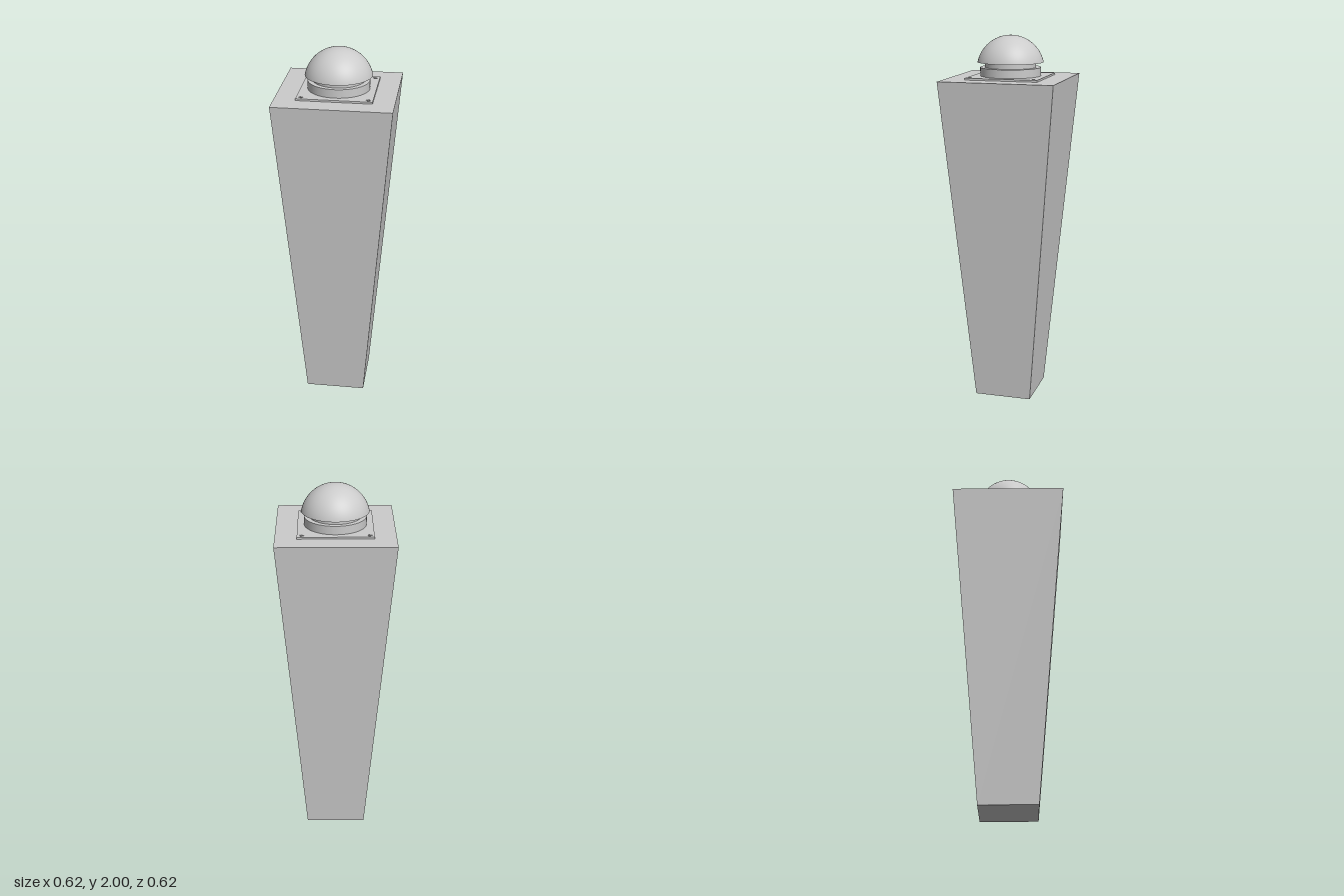
import * as THREE from 'three';

const material = new THREE.MeshStandardMaterial({ color: 0xcccccc });

function add(group, name, geometry, y = 0) {
  const mesh = new THREE.Mesh(geometry, material);
  mesh.name = name;
  mesh.position.y = y;
  group.add(mesh);
  return mesh;
}

// Square prism whose lower end is narrower than its top
function taperedPost(height, top, bottomX, bottomZ) {
  const g = new THREE.BoxGeometry(2, height, 2);
  const p = g.attributes.position;
  for (let i = 0; i < p.count; i++) {
    const upper = p.getY(i) > 0;
    p.setX(i, p.getX(i) * (upper ? top : bottomX));
    p.setZ(i, p.getZ(i) * (upper ? top : bottomZ));
  }
  g.translate(0, height / 2, 0);
  g.computeVertexNormals();
  return g;
}

// Plus-shaped screw slot, turned about its centre
function crossSlot(cx, cy, angle, arm = 0.012, w = 0.0035) {
  const corners = [];
  for (let k = 0; k < 4; k++) {
    const a = angle + k * Math.PI / 2;
    for (const [x, y] of [[arm, -w], [arm, w], [w, w]]) {
      corners.push(new THREE.Vector2(
        cx + x * Math.cos(a) - y * Math.sin(a),
        cy + x * Math.sin(a) + y * Math.cos(a)));
    }
  }
  return new THREE.Path(corners);
}

// Square mounting plate with a slot in each corner
function mountingPlate(half, thickness) {
  const s = new THREE.Shape();
  s.moveTo(-half, -half).lineTo(half, -half).lineTo(half, half).lineTo(-half, half).closePath();
  for (const x of [-1, 1]) {
    for (const y of [-1, 1]) s.holes.push(crossSlot(x * 0.173, y * 0.173, -x * 0.42));
  }
  const g = new THREE.ExtrudeGeometry(s, { depth: thickness, bevelEnabled: false });
  return g.rotateX(-Math.PI / 2);
}

export function createModel() {
  const group = new THREE.Group();
  group.name = 'taperedLeg';

  add(group, 'post', taperedPost(1.775, 0.31, 0.163, 0.156));
  add(group, 'mountingPlate', mountingPlate(0.197, 0.01), 1.775);
  add(group, 'collar', new THREE.CylinderGeometry(0.163, 0.163, 0.045, 64), 1.8075);
  add(group, 'neck', new THREE.CylinderGeometry(0.137, 0.137, 0.04, 64), 1.845);

  // Rounded cap: a spherical segment closed by a flat underside
  const radius = 0.177, rise = 0.143;
  const R = (radius * radius + rise * rise) / (2 * rise);
  const dome = new THREE.SphereGeometry(R, 64, 24, 0, Math.PI * 2, 0, Math.acos((R - rise) / R));
  add(group, 'domeCap', dome, 2 - R);
  add(group, 'domeUnderside', new THREE.CircleGeometry(radius, 64).rotateX(Math.PI / 2), 2 - rise);

  return group;
}
